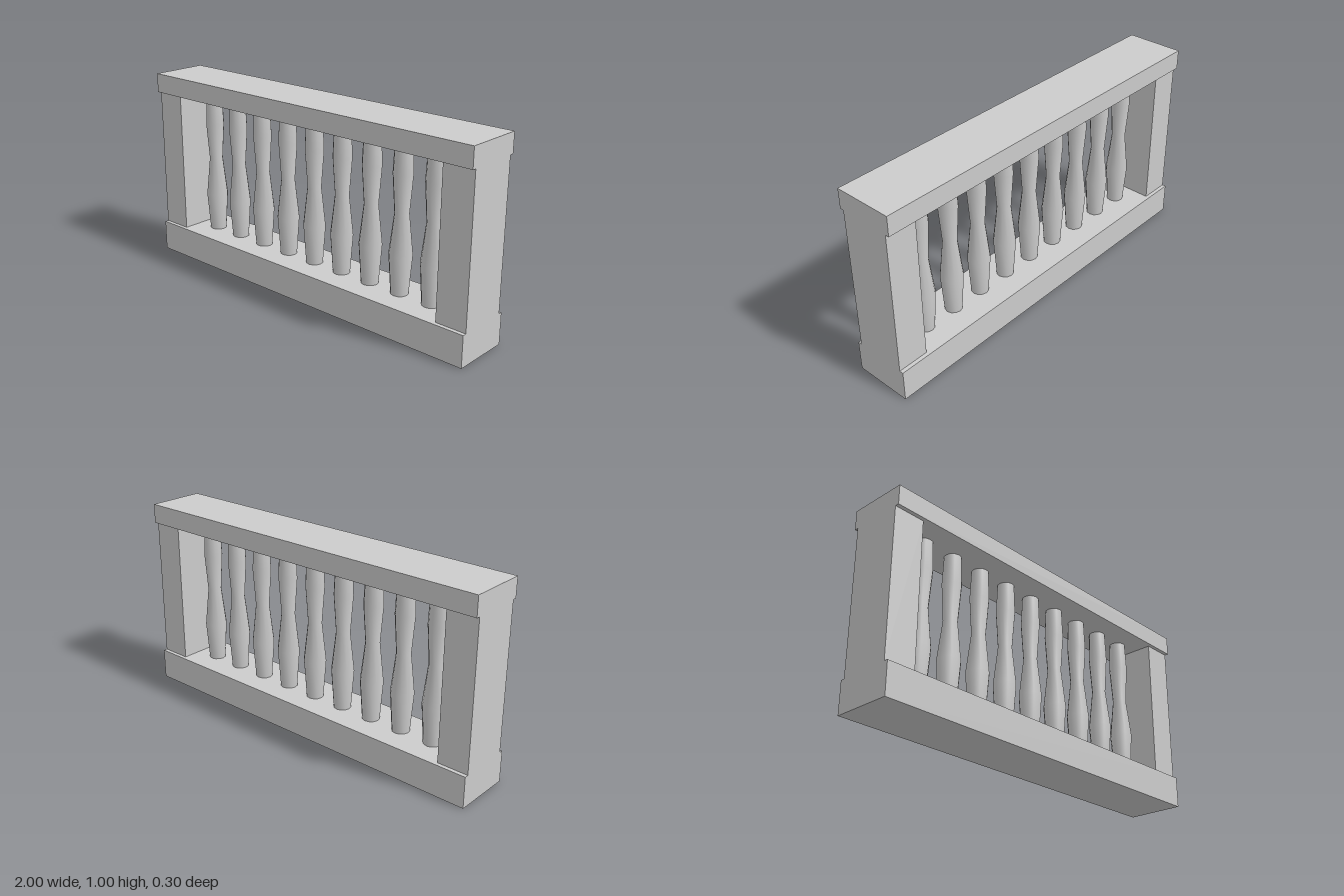
import * as THREE from 'three';

const material = new THREE.MeshStandardMaterial({ color: 0xcccccc });

function block(name, w, h, d, x, y) {
  const mesh = new THREE.Mesh(new THREE.BoxGeometry(w, h, d), material);
  mesh.name = name;
  mesh.position.set(x, y, 0);
  return mesh;
}

export function createModel() {
  const group = new THREE.Group();
  group.name = 'balustrade';

  const railBottom = 0.16, railTop = 0.9;

  // Plinth and handrail
  group.add(block('baseRail', 2, railBottom, 0.3, 0, railBottom / 2));
  group.add(block('topRail', 2, 1 - railTop, 0.3, 0, (1 + railTop) / 2));

  // End posts, slightly narrower than the rails
  for (const [side, name] of [[1, 'leftPost'], [-1, 'rightPost']]) {
    group.add(block(name, 0.16, railTop - railBottom, 0.26, side * 0.92, (railTop + railBottom) / 2));
  }

  // Turned balusters: radius and height of the profile
  const profile = [
    [0.043, railBottom], [0.057, 0.36], [0.035, 0.56], [0.048, 0.75], [0.042, railTop],
  ].map(([r, y]) => new THREE.Vector2(r, y));
  const balusterGeometry = new THREE.LatheGeometry(profile, 12);
  const balusters = new THREE.Group();
  balusters.name = 'balusters';
  for (let i = -4; i <= 4; i++) {
    const baluster = new THREE.Mesh(balusterGeometry, material);
    baluster.name = 'baluster';
    baluster.position.x = i * 0.18;
    balusters.add(baluster);
  }
  group.add(balusters);

  return group;
}
